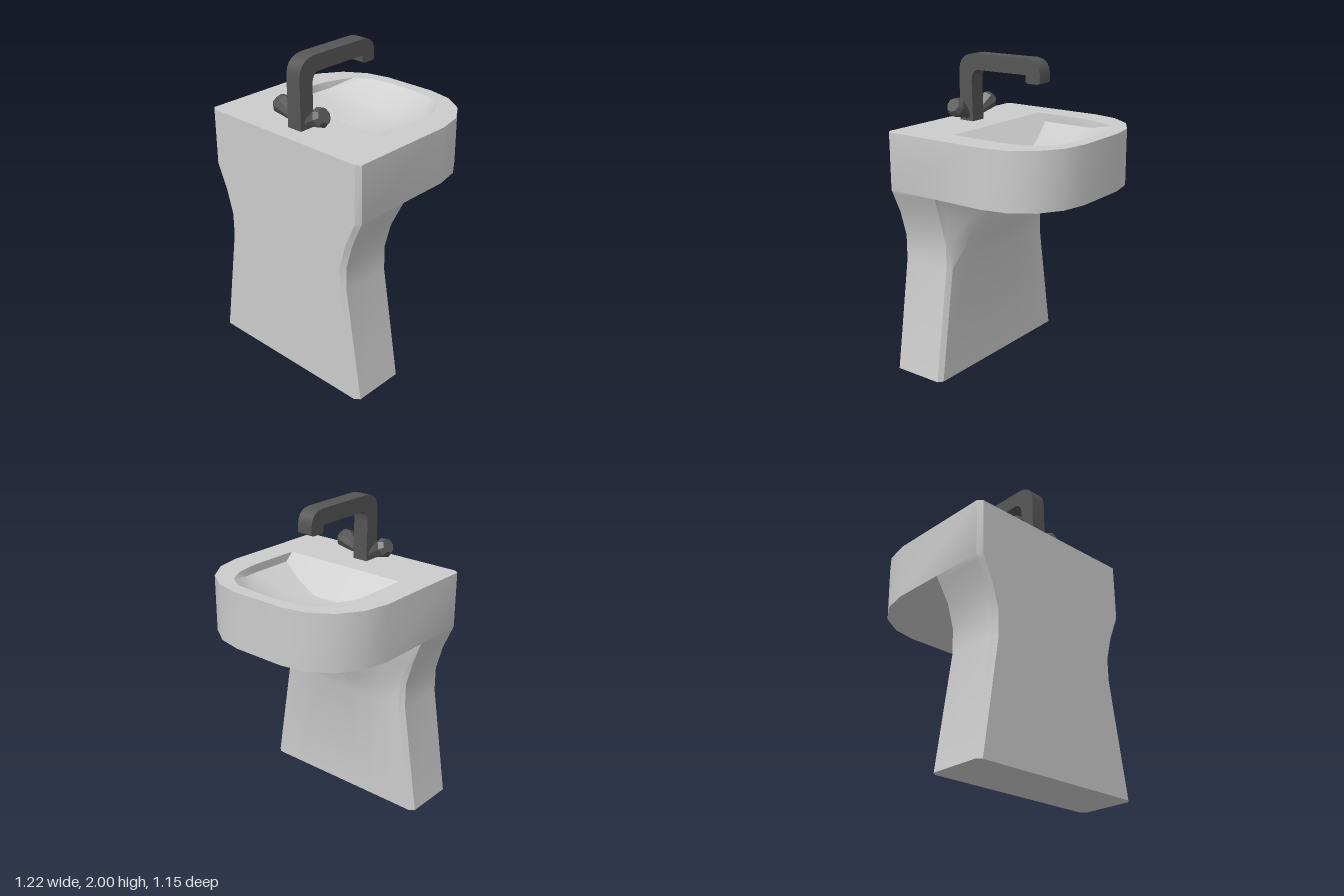
import * as THREE from 'three';
import { toCreasedNormals } from 'three/addons/utils/BufferGeometryUtils.js';

const TOP = 1.57, UNDER = 1.21;

// Skin over rows of [x, y, z] points; closed rows wrap around
function skin(rows, closed, crease) {
  const n = rows[0].length, index = [];
  for (let i = 0; i < rows.length - 1; i++) {
    for (let j = 0; j < (closed ? n : n - 1); j++) {
      const a = i * n + j, b = i * n + (j + 1) % n;
      index.push(a, b, b + n, a, b + n, a + n);
    }
  }
  const geo = new THREE.BufferGeometry();
  geo.setAttribute('position', new THREE.Float32BufferAttribute(rows.flat(2), 3));
  geo.setIndex(index);
  return toCreasedNormals(geo, crease);
}

// Completes a half outline of [x, ...] points with its mirror image
const mirrored = (half) => [...half, ...half.map(([x, ...r]) => [-x, ...r]).reverse()];

export function createModel() {
  const group = new THREE.Group();
  const ceramic = new THREE.MeshStandardMaterial({ color: 0xcccccc });
  ceramic.name = 'ceramic';
  const metal = new THREE.MeshStandardMaterial({ color: 0x555555 });
  metal.name = 'darkMetal';

  const add = (name, geo, mat, parent = group) => {
    const mesh = new THREE.Mesh(geo, mat);
    mesh.name = name;
    parent.add(mesh);
    return mesh;
  };

  // Pedestal ring: chamfered rectangle whose basin side swells by a bulge
  const pedestalRing = (y, w, bulge, cornerZ = 0.22) => mirrored([
    [w - 0.03, y, 0.575], [w, y, 0.55], [w, y, cornerZ], [w - 0.03, y, 0.195],
    [w * 0.68, y, 0.195 - bulge * 0.5], [w * 0.42, y, 0.195 - bulge * 0.87], [w * 0.16, y, 0.195 - bulge],
  ]);

  // Basin outline as [x, z]
  const outline = mirrored([
    [0.58, 0.575], [0.61, 0.55], [0.61, -0.15], [0.575, -0.315],
    [0.48, -0.455], [0.34, -0.545], [0.18, -0.578],
  ]);
  const basinRing = (y) => outline.map(([x, z]) => [x, y, z]);

  // Pedestal and basin walls in one skin
  const base = pedestalRing(0, 0.61, 0);
  add('pedestalAndBasin', skin([
    base,
    pedestalRing(0.73, 0.495, 0),
    pedestalRing(0.89, 0.495, 0.065),
    pedestalRing(1.05, 0.54, 0.135),
    pedestalRing(1.18, 0.596, 0.155, 0.2),
    pedestalRing(UNDER, 0.61, 0.175, 0.196),
    basinRing(UNDER),
    basinRing(TOP),
  ], true, 0.6), ceramic);

  // Underside of the pedestal
  const foot = new THREE.Shape(base.map(([x, , z]) => new THREE.Vector2(x, z)));
  add('pedestalBottom', new THREE.ShapeGeometry(foot).rotateX(Math.PI / 2), ceramic);

  // Flat top with the bowl opening
  const rim = mirrored([
    [0.435, 0.19], [0.435, -0.145], [0.425, -0.23], [0.41, -0.31],
    [0.35, -0.42], [0.25, -0.48], [0.09, -0.5],
  ]);
  const flat = (pts) => pts.map(([x, z]) => new THREE.Vector2(x, -z));
  const deck = new THREE.Shape(flat(outline));
  deck.holes.push(new THREE.Path(flat(rim)));
  add('basinTop', new THREE.ShapeGeometry(deck).rotateX(-Math.PI / 2).translate(0, TOP, 0), ceramic);

  // Bowl: sloping flat wall by the tap, shallow trough, rising rounded end
  const depth = [0, 0.053, 0.121, 0.17];
  const across = [0.435, 0.435, 0.26, 0.09];
  const bowlRow = (xs, zs, ds) =>
    mirrored(xs.map((x, i) => [-x, TOP - ds[i], zs[i]]));
  add('bowl', skin([
    bowlRow(across, [0.19, 0.19, 0.19, 0.19], [0, 0, 0, 0]),
    bowlRow(across, depth.map((d) => 0.19 - d * 1.03), depth),
    bowlRow(across, [-0.145, -0.145, -0.145, -0.145], depth),
    bowlRow([0.425, 0.41, 0.27, 0.09], [-0.23, -0.26, -0.33, -0.35], [0, 0.045, 0.095, 0.125]),
    bowlRow([0.41, 0.35, 0.25, 0.09], [-0.31, -0.42, -0.48, -0.5], [0, 0, 0, 0]),
  ], false, 0.65), ceramic);

  // Spout: side profile (z, y) extruded across x
  const tap = new THREE.Group();
  tap.name = 'tap';
  group.add(tap);
  const s = new THREE.Shape();
  s.moveTo(0.46, TOP);
  s.lineTo(0.46, 1.89);
  s.quadraticCurveTo(0.455, 1.995, 0.34, 2);
  s.lineTo(-0.07, 2);
  s.quadraticCurveTo(-0.16, 1.995, -0.165, 1.91);
  s.lineTo(-0.165, 1.86);
  s.lineTo(-0.15, 1.85);
  s.lineTo(-0.075, 1.85);
  s.lineTo(-0.06, 1.86);
  s.lineTo(-0.06, 1.9);
  s.lineTo(0.31, 1.9);
  s.quadraticCurveTo(0.357, 1.895, 0.36, 1.83);
  s.lineTo(0.355, TOP);
  const spout = new THREE.ExtrudeGeometry(s, { depth: 0.106, bevelEnabled: false, curveSegments: 5 });
  spout.translate(0, 0, -0.053).rotateY(-Math.PI / 2);
  add('spout', toCreasedNormals(spout, 0.5), metal, tap);

  // Faceted handles angled up to each side
  const knob = new THREE.LatheGeometry([
    [0.026, 0], [0.026, 0.04], [0.033, 0.05], [0.06, 0.135], [0.064, 0.15], [0.046, 0.182], [0, 0.182],
  ].map(([r, y]) => new THREE.Vector2(r, y)), 8);
  const knobGeo = toCreasedNormals(knob, 0.1);
  for (const side of [1, -1]) {
    const handle = add(side > 0 ? 'leftHandle' : 'rightHandle', knobGeo, metal, tap);
    handle.position.set(side * 0.03, 1.598, 0.403);
    handle.rotation.z = -side * Math.PI / 3;
  }
  return group;
}
